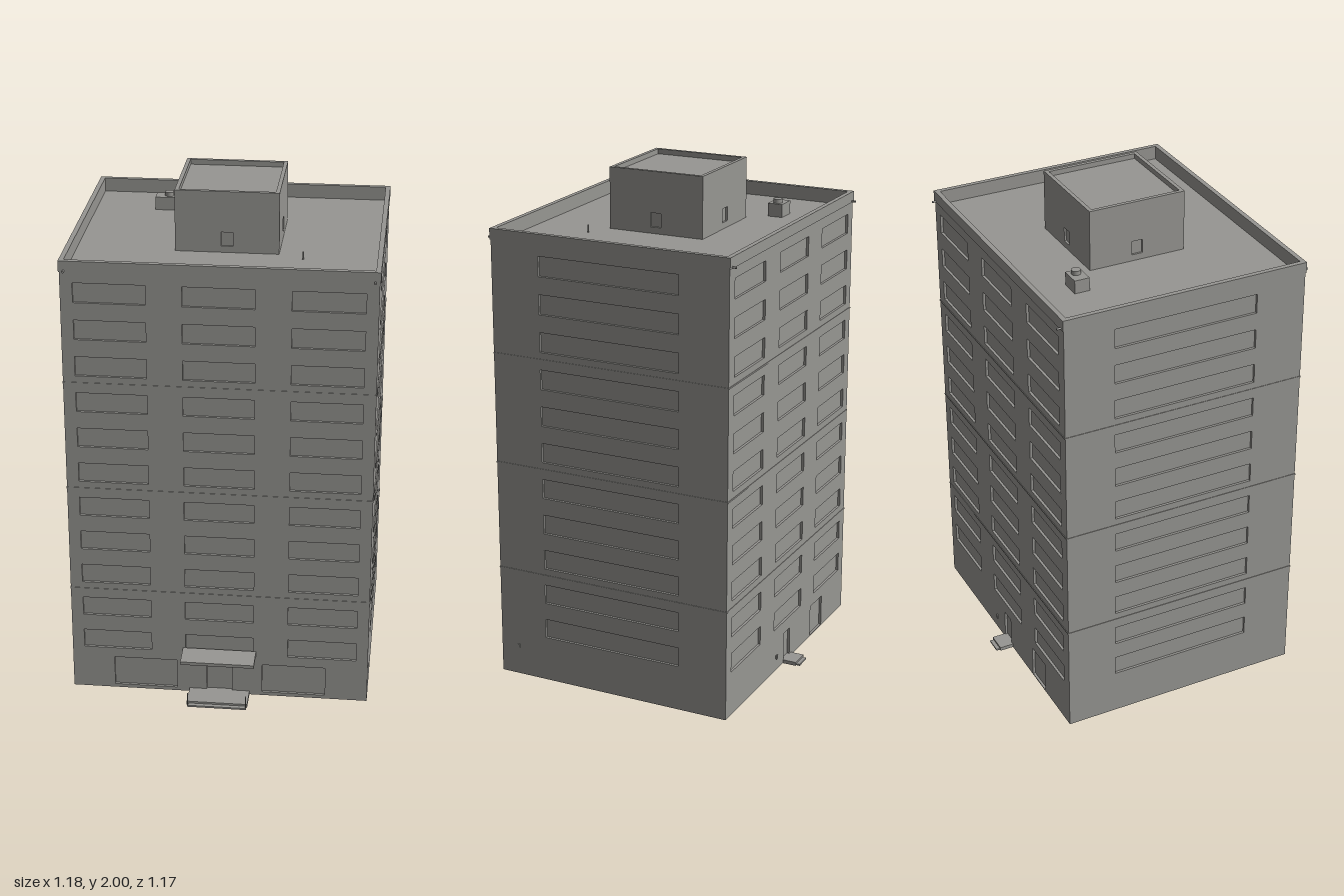
import * as THREE from 'three';

export function createModel() {
  const model = new THREE.Group();
  model.name = 'apartmentTower';
  const concrete = new THREE.MeshStandardMaterial({ color: 0x979692, side: THREE.DoubleSide });
  concrete.name = 'concrete grey';

  const W = 0.587, ZF = 0.467, ZB = -0.515, ZC = (ZF + ZB) / 2, D = (ZF - ZB) / 2;
  const ROOF = 1.76, TOP = 1.815, FLOOR = 0.147, RECESS = 0.01;

  const add = (name, geo, parent = model) => {
    const m = new THREE.Mesh(geo, concrete);
    m.name = name;
    parent.add(m);
    return m;
  };
  // box given by its min and max corners
  const box = (name, x0, x1, y0, y1, z0, z1, parent) => {
    const g = new THREE.BoxGeometry(x1 - x0, y1 - y0, z1 - z0);
    g.translate((x0 + x1) / 2, (y0 + y1) / 2, (z0 + z1) / 2);
    return add(name, g, parent);
  };
  const rect = (path, x0, x1, y0, y1) => {
    path.moveTo(x0, y0);
    path.lineTo(x1, y0);
    path.lineTo(x1, y1);
    path.lineTo(x0, y1);
    path.closePath();
    return path;
  };
  // flat wall with inset openings, each [x0, x1, y0, y1]
  function facade(name, half, y0, y1, openings, depth) {
    const g = new THREE.Group();
    g.name = name;
    const shape = rect(new THREE.Shape(), -half, half, y0, y1);
    for (const [a, b, c, d] of openings) {
      shape.holes.push(rect(new THREE.Path(), a, b, c, d));
      // open-fronted tray forms the reveal and the pane
      const tray = new THREE.BoxGeometry(b - a, d - c, depth);
      const idx = Array.from(tray.index.array);
      idx.splice(24, 6);
      tray.setIndex(idx);
      tray.clearGroups();
      tray.translate((a + b) / 2, (c + d) / 2, -depth / 2);
      add('windowRecess', tray, g);
    }
    add('wall', new THREE.ShapeGeometry(shape), g);
    model.add(g);
    return g;
  }
  // rectangular ring lying flat, for parapets
  function ring(name, hx, hz, zc, t, y0, y1) {
    const s = rect(new THREE.Shape(), -hx, hx, -hz, hz);
    s.holes.push(rect(new THREE.Path(), -hx + t, hx - t, -hz + t, hz - t));
    const g = new THREE.ExtrudeGeometry(s, { depth: y1 - y0, bevelEnabled: false });
    g.rotateX(-Math.PI / 2);
    g.translate(0, y0, zc);
    return add(name, g);
  }
  function slab(name, hx, hz, zc, y) {
    const g = new THREE.PlaneGeometry(hx * 2, hz * 2);
    g.rotateX(-Math.PI / 2);
    g.translate(0, y, zc);
    return add(name, g);
  }

  // window grid: eleven upper floors
  const floors = Array.from({ length: 11 }, (_, i) => (i + 1) * FLOOR + 0.035);
  const frontWindows = [], sideWindows = [];
  for (const y of floors) {
    for (const x of [-0.405, 0, 0.405]) frontWindows.push([x - 0.135, x + 0.135, y, y + 0.078]);
    sideWindows.push([-0.29, 0.29, y, y + 0.078]);
  }

  // four facades
  const front = facade('frontFacade', W, 0, TOP - 0.04, [...frontWindows,
    [-0.42, -0.17, 0.015, 0.14], [0.17, 0.42, 0.015, 0.14], [-0.05, 0.05, 0.015, 0.145]], RECESS);
  front.position.z = ZF;
  const back = facade('backFacade', W, 0, TOP - 0.04, [...frontWindows,
    [-0.035, 0.025, 0.015, 0.13], [0.24, 0.36, 0.005, 0.135]], RECESS);
  back.rotation.y = Math.PI;
  back.position.z = ZB;
  for (const s of [1, -1]) {
    const side = facade(s > 0 ? 'leftFacade' : 'rightFacade', D, 0, TOP - 0.04, sideWindows, RECESS);
    side.rotation.y = s * Math.PI / 2;
    side.position.set(s * W, 0, ZC);
  }

  // thin joint bands every three floors
  for (let i = 1; i <= 3; i++) {
    const y = i * 3 * FLOOR + 0.006;
    ring('jointBand', W + 0.002, D + 0.002, ZC, 0.004, y - 0.003, y + 0.003);
  }

  // roof deck and parapet
  slab('roofDeck', W - 0.002, D - 0.002, ZC, ROOF);
  ring('parapet', W + 0.003, D + 0.003, ZC, 0.019, ROOF + 0.012, TOP);
  ring('parapetLining', W - 0.001, D - 0.001, ZC, 0.015, ROOF, ROOF + 0.012);

  // corner rain spouts
  for (const x of [-0.57, 0.57]) for (const [z, s] of [[ZF, 1], [ZB, -1]]) {
    const g = new THREE.CylinderGeometry(0.004, 0.004, 0.02, 8);
    g.rotateX(Math.PI / 2);
    g.translate(x, 1.777, z + s * 0.009);
    add('rainSpout', g);
  }

  // lift house on the roof
  const PX = 0.197, PZ = 0.196, PC = -0.026;
  for (let i = 0; i < 4; i++) {
    const alongX = i % 2 === 0;
    const wall = facade('liftHouseWall', alongX ? PX : PZ, ROOF, 2,
      [[-0.022, 0.022, ROOF + 0.025, ROOF + 0.08]], 0.008);
    const a = i * Math.PI / 2, off = alongX ? PZ : PX;
    wall.rotation.y = a;
    wall.position.set(Math.sin(a) * off, 0, PC + Math.cos(a) * off);
  }
  slab('liftHouseRoof', PX - 0.002, PZ - 0.002, PC, 1.98);
  ring('liftHouseParapet', PX, PZ, PC, 0.015, 1.98, 2);

  // roof vent with round cap, and a small pipe
  box('roofVent', -0.335, -0.255, ROOF, 1.812, -0.35, -0.29);
  const cap = new THREE.CylinderGeometry(0.018, 0.018, 0.018, 20);
  cap.translate(-0.282, 1.819, -0.32);
  add('ventCap', cap);
  const pipe = new THREE.CylinderGeometry(0.003, 0.003, 0.03, 8);
  pipe.translate(0.29, ROOF + 0.015, 0.215);
  add('roofPipe', pipe);

  // sloping entrance canopy
  const c = new THREE.Shape();
  c.moveTo(0, 0.18);
  c.lineTo(0, 0.2);
  c.lineTo(0.093, 0.191);
  c.lineTo(0.093, 0.178);
  c.closePath();
  const canopy = new THREE.ExtrudeGeometry(c, { depth: 0.29, bevelEnabled: false });
  canopy.rotateY(-Math.PI / 2);
  canopy.translate(0.145, 0, ZF);
  add('entranceCanopy', canopy);

  // entrance landing, step and rail posts
  box('entranceLanding', -0.12, 0.12, 0, 0.015, ZF, 0.566);
  box('entranceStep', -0.115, 0.115, 0, 0.007, 0.566, 0.583);
  for (const x of [-0.115, 0.115]) box('railPost', x - 0.002, x + 0.002, 0, 0.056, 0.572, 0.582);

  // back door landing and step
  box('backLanding', -0.04, 0.04, 0, 0.015, -0.571, ZB);
  box('backStep', -0.033, 0.033, 0, 0.007, -0.586, -0.571);

  // small wall lamps
  box('wallLamp', 0.104, 0.114, 0.05, 0.066, ZB - 0.005, ZB);
  box('wallLamp', 0.114, 0.122, 0.112, 0.126, ZF, ZF + 0.004);
  box('wallLamp', W, W + 0.004, 0.114, 0.128, 0.385, 0.395);

  return model;
}
